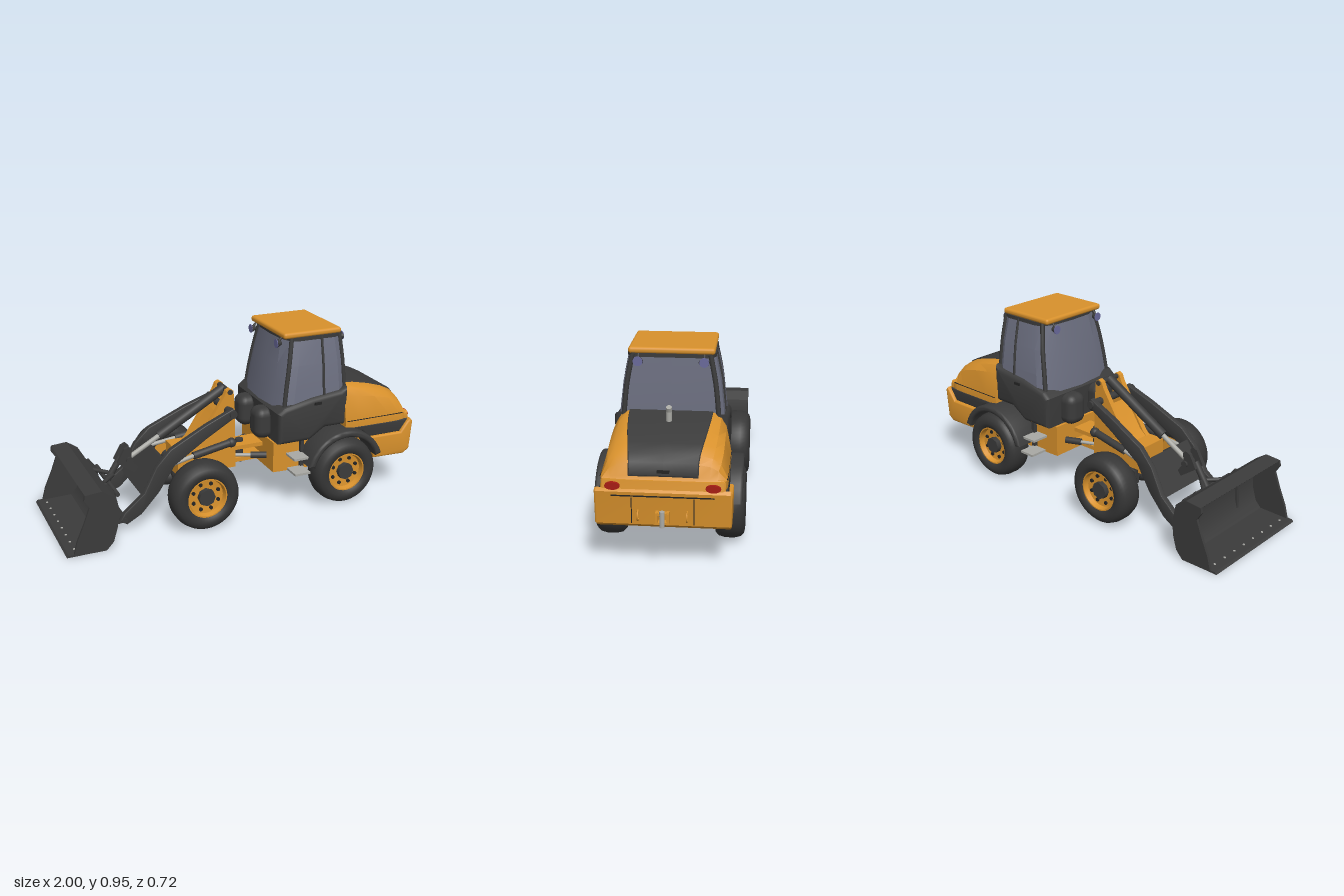
import * as THREE from 'three';
import { toCreasedNormals } from 'three/addons/utils/BufferGeometryUtils.js';
import { RoundedBoxGeometry } from 'three/addons/geometries/RoundedBoxGeometry.js';

const mat = (color, side = THREE.FrontSide) => new THREE.MeshStandardMaterial({ color, side });
const yellow = mat(0xd8912c), black = mat(0x3b3b3b), sheet = mat(0x3b3b3b, THREE.DoubleSide);
const glass = mat(0x6c6f80), silver = mat(0xa9a9a4), rubber = mat(0x363636);
const red = mat(0xa81c14), lens = mat(0x6a6a9c), dark = mat(0x242424);
const V = (x, y, z) => new THREE.Vector3(x, y, z);

export function createModel() {
  const model = new THREE.Group();
  const add = (name, geo, m, x = 0, y = 0, z = 0, parent = model) => {
    const mesh = new THREE.Mesh(geo, m);
    mesh.name = name;
    mesh.position.set(x, y, z);
    parent.add(mesh);
    return mesh;
  };
  const box = (name, m, w, h, d, x, y, z, r = 0) =>
    add(name, r ? new RoundedBoxGeometry(w, h, d, 3, r) : new THREE.BoxGeometry(w, h, d), m, x, y, z);
  // Side outline in x,y extruded from z0 to z1, with optional rounded edges
  const plateGeo = (pts, z0, z1, b = 0) => {
    const shape = new THREE.Shape(pts.map(p => new THREE.Vector2(...p)));
    const g = new THREE.ExtrudeGeometry(shape, {
      depth: z1 - z0 - 2 * b, bevelEnabled: b > 0, bevelSize: b, bevelThickness: b, bevelOffset: -b, bevelSegments: 3,
    });
    g.translate(0, 0, z0 + b);
    return toCreasedNormals(g, 0.6);
  };
  const plate = (name, m, pts, z0, z1, b) => add(name, plateGeo(pts, z0, z1, b), m);
  // Round bar between two points
  const rod = (name, m, a, b, r, r2 = r) => {
    const mesh = add(name, new THREE.CylinderGeometry(r2, r, a.distanceTo(b), 20), m);
    mesh.position.copy(a).lerp(b, 0.5);
    mesh.quaternion.setFromUnitVectors(V(0, 1, 0), b.clone().sub(a).normalize());
    return mesh;
  };
  // Skin over rings of equal point count, capped at both ends
  const loft = (rings, crease = 0.6) => {
    const tri = [];
    const n = rings[0].length;
    for (let r = 0; r + 1 < rings.length; r++) for (let i = 0; i < n; i++) {
      const a = rings[r][i], b = rings[r][(i + 1) % n], c = rings[r + 1][(i + 1) % n], d = rings[r + 1][i];
      tri.push([a, b, c], [a, c, d]);
    }
    [rings[0], rings.at(-1)].forEach((ring, k) => {
      const mid = ring.reduce((s, p) => s.add(p), V(0, 0, 0)).divideScalar(n);
      for (let i = 0; i < n; i++) {
        const p = ring[i], q = ring[(i + 1) % n];
        tri.push(k ? [mid, p, q] : [mid, q, p]);
      }
    });
    const volume = tri.reduce((s, [a, b, c]) => s + a.dot(b.clone().cross(c)), 0);
    if (volume < 0) tri.forEach(t => t.reverse());
    return toCreasedNormals(new THREE.BufferGeometry().setFromPoints(tri.flat()), crease);
  };
  const mirrorRing = half => [...half, ...half.filter(p => p.z > 0).reverse().map(p => V(p.x, p.y, -p.z))];

  // Wheels
  const lathe = pts => toCreasedNormals(
    new THREE.LatheGeometry(pts.map(p => new THREE.Vector2(...p)), 48).rotateX(Math.PI / 2), 0.7);
  const tyreGeo = lathe([[0.1, -0.055], [0.112, -0.068], [0.135, -0.073], [0.158, -0.068], [0.174, -0.052], [0.182, -0.022],
    [0.182, 0.022], [0.174, 0.052], [0.158, 0.068], [0.135, 0.073], [0.112, 0.068], [0.1, 0.055]]);
  const rimGeo = lathe([[0, -0.02], [0.085, -0.02], [0.095, -0.058], [0.11, -0.058], [0.11, 0.062], [0.1, 0.062],
    [0.093, 0.035], [0.06, 0.03], [0, 0.03]]);
  const disc = (r, h, n = 24) => new THREE.CylinderGeometry(r, r, h, n).rotateX(Math.PI / 2);
  for (const x of [-0.268, 0.535]) for (const s of [1, -1]) {
    const wheel = new THREE.Group();
    wheel.name = x < 0 ? 'frontWheel' : 'rearWheel';
    wheel.position.set(x, 0.188, s * 0.288);
    wheel.rotation.y = s > 0 ? 0 : Math.PI;
    add('tyre', tyreGeo, rubber, 0, 0, 0, wheel);
    add('rim', rimGeo, yellow, 0, 0, 0, wheel);
    add('hub', disc(0.045, 0.045, 8), black, 0, 0, 0.035, wheel);
    for (let i = 0; i < 8; i++) {
      const a = (i + 0.5) * Math.PI / 4;
      add('wheelBolt', disc(0.01, 0.012, 10), dark, 0.073 * Math.cos(a), 0.073 * Math.sin(a), 0.033, wheel);
    }
    model.add(wheel);
  }
  // Axles with cooling ribs
  for (const x of [-0.268, 0.535]) {
    rod('axle', black, V(x, 0.188, -0.25), V(x, 0.188, 0.25), 0.036);
    add('differential', new THREE.SphereGeometry(0.065, 24, 16), black, x, 0.188, 0);
    for (const s of [1, -1]) for (let i = 0; i < 5; i++)
      box('axleRib', black, 0.085, 0.075, 0.012, x, 0.188, s * (0.085 + i * 0.023));
  }

  // Rear frame, articulation joint and front frame
  plate('rearFrame', yellow, [[0.17, 0.19], [0.36, 0.185], [0.74, 0.2], [0.8, 0.24], [0.8, 0.41], [0.17, 0.36]], -0.2, 0.2);
  for (const y of [0.235, 0.305]) box('jointPlate', yellow, 0.18, 0.022, 0.13, 0.09, y, 0);
  rod('jointPin', black, V(0.06, 0.2, 0), V(0.06, 0.33, 0), 0.022);
  box('frontFrame', yellow, 0.33, 0.14, 0.18, -0.165, 0.28, 0);
  const tower = [[-0.33, 0.27], [-0.22, 0.37], [-0.065, 0.61], [-0.05, 0.645], [-0.03, 0.655], [-0.01, 0.64], [0, 0.5], [0, 0.21], [-0.13, 0.21]];
  for (const s of [1, -1]) {
    plate('towerPlate', yellow, tower, s * 0.07 - 0.014, s * 0.07 + 0.014);
    rod('steeringBarrel', black, V(0.16, 0.27, s * 0.14), V(0.08, 0.27, s * 0.105), 0.018);
    rod('steeringRod', silver, V(0.08, 0.27, s * 0.105), V(0.0, 0.27, s * 0.07), 0.009);
  }
  plate('towerWeb', yellow, [[-0.25, 0.34], [-0.2, 0.38], [-0.1, 0.53], [0, 0.45], [0, 0.34]], -0.06, 0.06);
  rod('tiltPin', black, V(-0.03, 0.635, -0.09), V(-0.03, 0.635, 0.09), 0.014);
  rod('armPin', black, V(-0.045, 0.54, -0.17), V(-0.045, 0.54, 0.17), 0.02);

  // Lift arms splay outward toward the bucket
  const arm = [[-0.02, 0.545], [-0.04, 0.568], [-0.2, 0.505], [-0.4, 0.41], [-0.48, 0.33], [-0.55, 0.2], [-0.66, 0.115],
    [-0.685, 0.075], [-0.65, 0.05], [-0.57, 0.09], [-0.47, 0.19], [-0.38, 0.32], [-0.2, 0.43], [-0.04, 0.515]];
  for (const s of [1, -1]) {
    const g = plateGeo(arm, s * 0.138 - 0.016, s * 0.138 + 0.016, 0.004), p = g.attributes.position;
    for (let i = 0; i < p.count; i++) p.setZ(i, p.getZ(i) - s * p.getX(i) * 0.075);
    add('liftArm', g, black);
    rod('liftBarrel', black, V(-0.05, 0.37, s * 0.125), V(-0.26, 0.335, s * 0.135), 0.02);
    rod('liftRod', silver, V(-0.26, 0.335, s * 0.135), V(-0.4, 0.31, s * 0.15), 0.011);
    add('liftEye', new THREE.SphereGeometry(0.026, 16, 12), black, -0.04, 0.37, s * 0.125);
    plate('bucketBracket', black, [[-0.76, 0.28], [-0.735, 0.28], [-0.7, 0.23], [-0.68, 0.13], [-0.64, 0.08], [-0.65, 0.05],
      [-0.77, 0.04]], s * 0.165 - 0.008, s * 0.165 + 0.008);
    rod('couplerBrace', black, V(-0.735, 0.25, s * 0.09), V(-0.66, 0.25, s * 0.01), 0.011);
  }
  box('armCrossPlate', black, 0.21, 0.035, 0.34, -0.485, 0.26, 0).rotation.z = 0.95;
  rod('couplerShaft', black, V(-0.66, 0.075, -0.205), V(-0.66, 0.075, 0.205), 0.014);
  rod('couplerUpperShaft', black, V(-0.69, 0.22, -0.19), V(-0.69, 0.22, 0.19), 0.012);

  // Tilt cylinder and bell crank
  rod('tiltBarrel', black, V(-0.03, 0.635, 0), V(-0.4, 0.42, 0), 0.026);
  rod('tiltRod', silver, V(-0.4, 0.42, 0), V(-0.575, 0.32, 0), 0.013);
  const crank = [[-0.64, 0.32], [-0.6, 0.39], [-0.575, 0.4], [-0.56, 0.385], [-0.565, 0.33], [-0.53, 0.28], [-0.55, 0.255], [-0.6, 0.29]];
  for (const s of [1, -1]) plate('bellCrank', black, crank, s * 0.03 - 0.009, s * 0.03 + 0.009);
  rod('crankPin', black, V(-0.575, 0.33, -0.05), V(-0.575, 0.33, 0.05), 0.017);
  rod('bucketLink', black, V(-0.61, 0.34, 0), V(-0.7, 0.2, 0), 0.017);

  // Bucket
  const back = [[-1, 0.004], [-0.8, 0.004], [-0.762, 0.045], [-0.74, 0.12], [-0.735, 0.2], [-0.752, 0.285], [-0.81, 0.325], [-0.895, 0.318]];
  const inner = [[-0.885, 0.308], [-0.815, 0.313], [-0.764, 0.277], [-0.748, 0.2], [-0.753, 0.12], [-0.774, 0.052], [-0.806, 0.018], [-0.99, 0.014]];
  plate('bucketShell', sheet, [...back, ...inner], -0.335, 0.335);
  for (const s of [1, -1])
    plate('bucketSide', sheet, [[-0.965, 0.006], ...back.slice(1), [-0.9, 0.29], [-0.875, 0.25], [-0.905, 0.17], [-0.945, 0.08]],
      s * 0.33 - 0.007, s * 0.33 + 0.007);
  for (let i = 0; i < 8; i++)
    add('edgeBolt', new THREE.CylinderGeometry(0.006, 0.006, 0.006, 10), silver, -0.95, 0.015, -0.28 + i * 0.08);

  // Cab: lower shell, glazed upper and pillars
  plate('cabLower', black, [[0.17, 0.37], [0.165, 0.54], [0.2, 0.57], [0.36, 0.605], [0.53, 0.625], [0.572, 0.64], [0.572, 0.43],
    [0.44, 0.43], [0.35, 0.37]], -0.272, 0.272, 0.025);
  const cabRing = (y, x0, x1, z, grow = 0) => [V(x0, y, 0), V(x0 + 0.006, y, 0.6 * z), V(x0 + 0.035 - grow, y, 0.93 * z + grow),
    V(x0 + 0.08, y, z + grow), V(0.435, y, z + grow), V(x1 - 0.04, y, z + grow), V(x1 + grow, y, 0.9 * z + grow), V(x1, y, 0)];
  const levels = [[0.53, 0.172, 0.57, 0.258], [0.65, 0.188, 0.566, 0.247], [0.78, 0.21, 0.559, 0.232], [0.92, 0.235, 0.548, 0.203]];
  add('cabGlass', loft(levels.map(l => mirrorRing(cabRing(...l))), 0.35), glass);
  for (const s of [1, -1]) for (const i of [2, 4, 6]) {
    const path = levels.map(l => { const p = cabRing(...l, 0.001)[i]; return V(p.x, p.y, s * p.z); });
    add('cabPillar', new THREE.TubeGeometry(new THREE.CatmullRomCurve3(path), 12, i === 4 ? 0.007 : 0.012, 8), black);
  }
  add('roofTrim', loft([0.905, 0.924].map(y => mirrorRing(cabRing(y, 0.231, 0.552, 0.209)))), black);
  box('roof', yellow, 0.335, 0.032, 0.41, 0.387, 0.936, 0, 0.014);
  for (const s of [1, -1]) {
    box('frontStorageHump', black, 0.11, 0.17, 0.125, 0.145, 0.455, s * 0.105, 0.045);
    for (const [x, d] of [[0.208, -1], [0.572, 1]]) {
      const lamp = rod('workLamp', black, V(x - d * 0.014, 0.895, s * 0.155), V(x + d * 0.01, 0.892, s * 0.155), 0.018, 0.026);
      lamp.scale.x = 0.75;
      rod('workLampLens', lens, V(x + d * 0.009, 0.892, s * 0.155), V(x + d * 0.013, 0.892, s * 0.155), 0.023);
      rod('workLampBracket', black, V(x - d * 0.02, 0.92, s * 0.155), V(x, 0.9, s * 0.155), 0.006);
    }
    box('doorHandle', dark, 0.04, 0.014, 0.01, 0.39, 0.575, s * 0.273);
    for (const [y, z] of [[0.285, 0.25], [0.205, 0.265]]) box('step', silver, 0.09, 0.012, 0.1, 0.29, y, s * z);
    box('stepHanger', black, 0.02, 0.17, 0.02, 0.33, 0.28, s * 0.215);
  }

  // Rear mudguards
  const arc = (r, a, b) => Array.from({ length: 19 }, (_, i) => {
    const t = THREE.MathUtils.degToRad(a + (b - a) * i / 18);
    return [0.535 + r * Math.cos(t), 0.192 + r * Math.sin(t)];
  });
  const guard = [...arc(0.228, 18, 166), ...arc(0.192, 166, 18)];
  for (const s of [1, -1]) plate('mudguard', black, guard, s * 0.275 - 0.075, s * 0.275 + 0.075, 0.014);

  // Engine hood: x, top height, panel half width, shoulder height, shoulder and side half widths
  const hood = [[0.555, 0.648, 0.203, 0.585, 0.262, 0.287], [0.64, 0.636, 0.198, 0.578, 0.264, 0.287], [0.74, 0.612, 0.188, 0.562, 0.264, 0.287],
    [0.83, 0.582, 0.175, 0.54, 0.262, 0.287], [0.89, 0.552, 0.165, 0.515, 0.255, 0.286], [0.918, 0.52, 0.16, 0.492, 0.245, 0.283],
    [0.932, 0.465, 0.158, 0.455, 0.24, 0.276], [0.945, 0.445, 0.155, 0.44, 0.235, 0.265]];
  add('hood', loft(hood.map(([x, t, w, sy, sz, z]) => mirrorRing([V(x, t, 0), V(x, t, w), V(x, (t * 2 + sy) / 3, w * 0.4 + sz * 0.6),
    V(x, sy, sz), V(x, Math.min(sy, 0.45), z), V(x, 0.4, z), V(x, 0.4, 0)])), 0.5), yellow);
  add('hoodPanel', loft(hood.slice(0, 7).map(([x, t, w]) => mirrorRing([V(x + 0.003, t + 0.005, 0), V(x + 0.003, t + 0.005, w - 0.006),
    V(x + 0.001, t - 0.006, w), V(x - 0.01, t - 0.02, 0)])), 0.5), black);
  box('hoodLatch', dark, 0.012, 0.014, 0.055, 0.93, 0.487, 0);
  plate('hoodStripe', black, [[0.56, 0.412], [0.945, 0.412], [0.93, 0.34], [0.7, 0.34], [0.66, 0.38]], -0.289, 0.289, 0.01);
  box('hoodSeam', dark, 0.35, 0.004, 0.576, 0.735, 0.45, 0);
  rod('exhaust', silver, V(0.665, 0.6, 0), V(0.665, 0.685, 0), 0.014);
  rod('exhaustTip', silver, V(0.665, 0.68, 0), V(0.674, 0.703, 0), 0.014);

  // Rear counterweight with lamps and towing hitch
  plate('counterweight', yellow, [[0.705, 0.345], [0.73, 0.22], [0.92, 0.215], [0.955, 0.24], [0.968, 0.4], [0.955, 0.415], [0.935, 0.4],
    [0.895, 0.345]], -0.308, 0.308, 0.01);
  plate('lampBar', yellow, [[0.9, 0.395], [0.962, 0.395], [0.95, 0.45], [0.9, 0.45]], -0.28, 0.28, 0.012);
  const onBack = (name, m, h, d, y, z) => { box(name, m, 0.008, h, d, 0.953 + (y - 0.24) * 0.08, y, z).rotation.z = -0.08; };
  onBack('counterweightSlot', dark, 0.006, 0.46, 0.382, 0);
  for (const s of [1, -1]) {
    const lamp = rod('tailLamp', red, V(0.948, 0.425, s * 0.225), V(0.966, 0.425, s * 0.225), 0.018);
    lamp.scale.z = 1.9;
    onBack('counterweightSeam', dark, 0.13, 0.004, 0.31, s * 0.14);
    add('towEye', new THREE.TorusGeometry(0.024, 0.004, 8, 20), yellow, 0.965, 0.29, s * 0.11);
    box('hitchCheek', yellow, 0.03, 0.055, 0.012, 0.972, 0.285, s * 0.025);
  }
  for (const y of [0.262, 0.305]) box('hitchPlate', yellow, 0.034, 0.01, 0.06, 0.972, y, 0);
  rod('hitchPin', silver, V(0.987, 0.245, 0), V(0.987, 0.32, 0), 0.012);
  return model;
}
